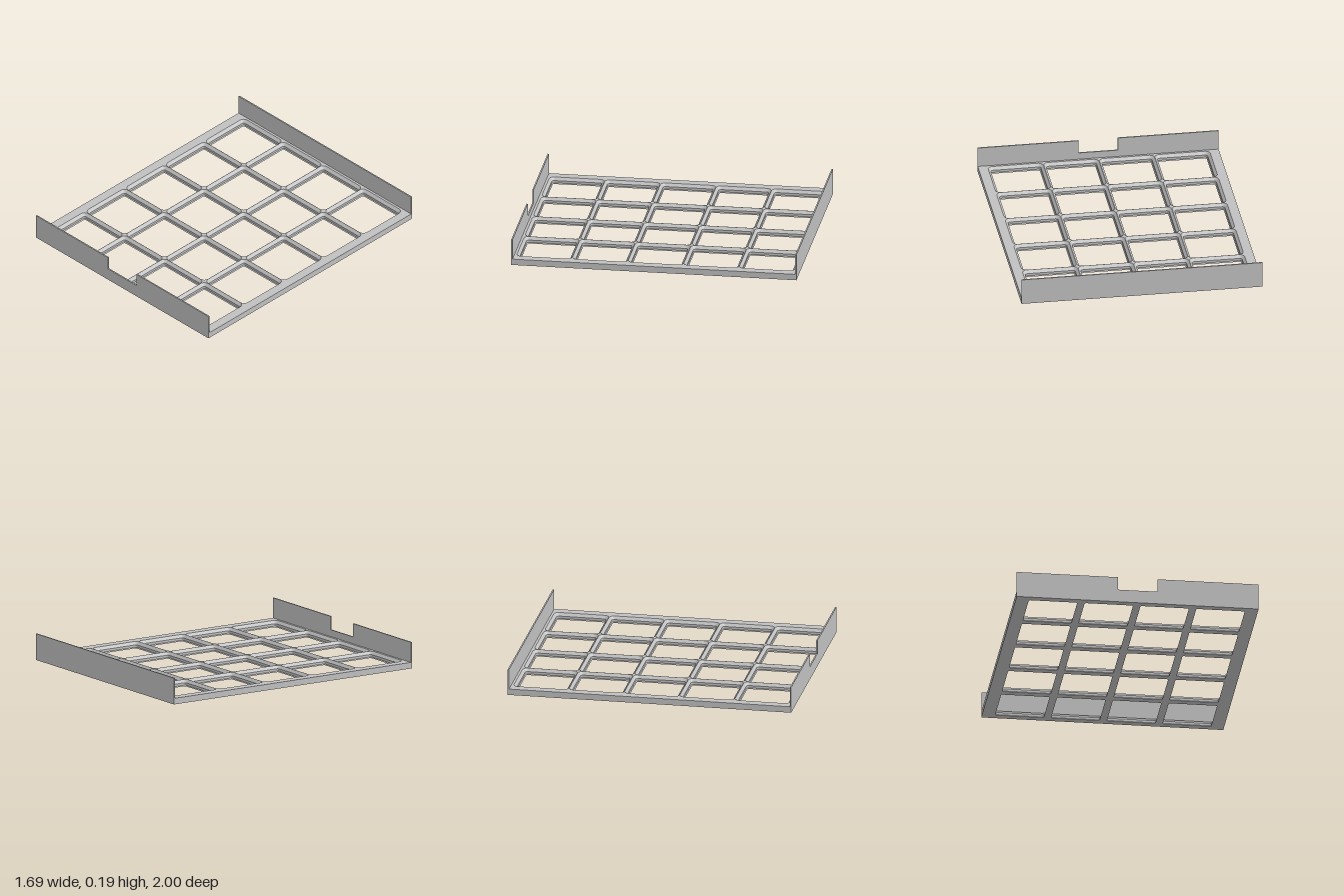
import * as THREE from 'three';

const COLS = 4, ROWS = 5, PITCH = 0.39;
const HALF_X = 0.845, WALL_T = 0.0095, HALF_Z = 1 - WALL_T;
const BASE_H = 0.0433, WALL_H = 0.187;

// Pocket profile from bottom to top: [half width, corner radius, y]
const PROFILE = [
  [0.169, 0.0107, 0],
  [0.1755, 0.0172, 0.0065],
  [0.1755, 0.0172, 0.0232],
  [0.194, 0.0365, BASE_H],
];

// Rounded rectangle outline, counter-clockwise seen from above
function outline(hx, hz, r, steps, cx = 0, cz = 0) {
  const pts = [];
  [[1, 1], [-1, 1], [-1, -1], [1, -1]].forEach(([sx, sz], k) => {
    for (let i = 0; i <= steps; i++) {
      const a = (k + (steps ? i / steps : 0)) * Math.PI / 2;
      pts.push(new THREE.Vector2(
        cx + sx * (hx - r) + r * Math.cos(a),
        cz + sz * (hz - r) + r * Math.sin(a)));
    }
  });
  return pts;
}

// Faceted skin between stacked outlines; inward flips the faces
function loft(rings, inward) {
  const pos = [];
  for (let k = 0; k + 1 < rings.length; k++) {
    const lo = rings[k], hi = rings[k + 1], n = lo.pts.length;
    for (let i = 0; i < n; i++) {
      const j = (i + 1) % n;
      const v = (ring, m) => [ring.pts[m].x, ring.y, -ring.pts[m].y];
      const a = v(lo, i), b = v(lo, j), c = v(hi, j), d = v(hi, i);
      const order = inward ? [a, c, b, a, d, c] : [a, b, c, a, c, d];
      order.forEach((p) => pos.push(...p));
    }
  }
  const g = new THREE.BufferGeometry();
  g.setAttribute('position', new THREE.Float32BufferAttribute(pos, 3));
  g.computeVertexNormals();
  return g;
}

export function createModel() {
  const model = new THREE.Group();
  model.name = 'gridTray';
  const grey = new THREE.MeshStandardMaterial({ color: 0xc0c0c0 });
  grey.name = 'light grey';

  const add = (geometry, name, parent = model) => {
    const mesh = new THREE.Mesh(geometry, grey);
    mesh.name = name;
    parent.add(mesh);
    return mesh;
  };

  const centres = [];
  for (let r = 0; r < ROWS; r++) {
    for (let c = 0; c < COLS; c++) {
      centres.push([(c - (COLS - 1) / 2) * PITCH, (r - (ROWS - 1) / 2) * PITCH]);
    }
  }

  // Flat faces of the base with one opening per cell
  const face = ([half, radius]) => {
    const shape = new THREE.Shape(outline(HALF_X, HALF_Z, 0, 0));
    centres.forEach(([x, z]) =>
      shape.holes.push(new THREE.Path(outline(half, half, radius, 6, x, z))));
    return new THREE.ShapeGeometry(shape);
  };
  const base = new THREE.Group();
  base.name = 'base';
  model.add(base);
  add(face(PROFILE[3]).rotateX(-Math.PI / 2).translate(0, BASE_H, 0), 'baseTop', base);
  add(face(PROFILE[0]).rotateX(Math.PI / 2), 'baseBottom', base);

  // Outer rim of the base
  const rim = outline(HALF_X, HALF_Z, 0, 0);
  add(loft([{ pts: rim, y: 0 }, { pts: rim, y: BASE_H }], false), 'baseRim', base);

  // Stepped chamfer inside every cell
  const pocket = loft(PROFILE.map(([h, r, y]) => ({ pts: outline(h, h, r, 6), y })), true);
  centres.forEach(([x, z]) => add(pocket, 'cellPocket', base).position.set(x, 0, z));

  // End walls; the front one has a notch in its top edge
  const wall = (notch) => {
    const pts = [[-HALF_X, 0], [HALF_X, 0], [HALF_X, WALL_H]];
    if (notch) pts.push([0.138, WALL_H], [0.138, 0.092], [-0.138, 0.092], [-0.138, WALL_H]);
    pts.push([-HALF_X, WALL_H]);
    const shape = new THREE.Shape(pts.map(([x, y]) => new THREE.Vector2(x, y)));
    return new THREE.ExtrudeGeometry(shape, { depth: WALL_T, bevelEnabled: false });
  };
  add(wall(true), 'frontWall').position.z = HALF_Z;
  add(wall(false), 'backWall').position.z = -1;

  return model;
}
